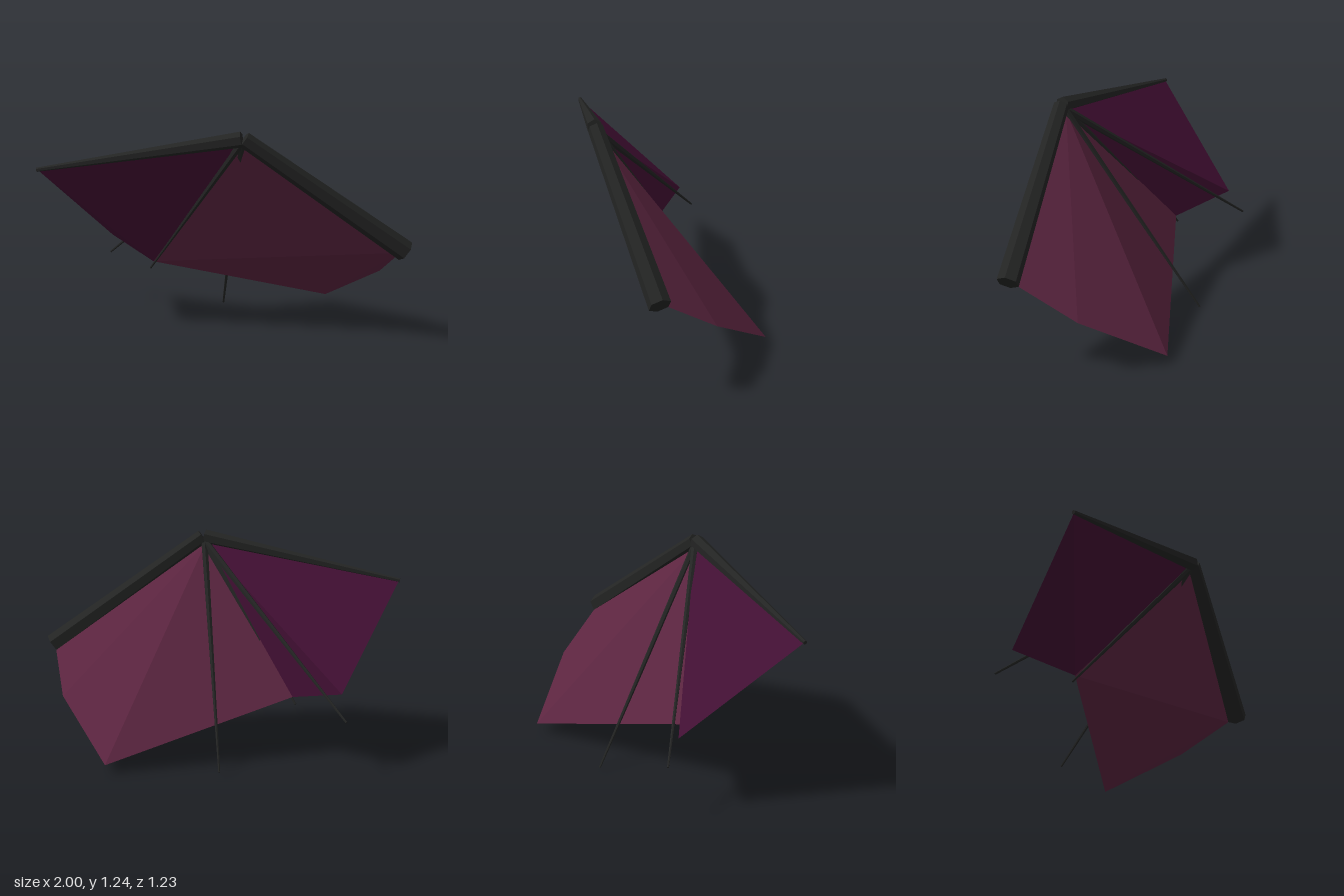
import * as THREE from 'three';
import { ConvexGeometry } from 'three/addons/geometries/ConvexGeometry.js';

const V = (x, y, z) => new THREE.Vector3(x, y, z);

function material(name, color) {
  const m = new THREE.MeshStandardMaterial({ color });
  m.name = name;
  return m;
}

// Six-sided tapered rod from a to b, one corner edge turned upwards
function rod(name, a, b, ra, rb, mat) {
  const len = a.distanceTo(b);
  const geo = new THREE.CylinderGeometry(rb, ra, len, 6).toNonIndexed();
  geo.computeVertexNormals();
  const axis = b.clone().sub(a).normalize();
  const up = V(0, 1, 0).addScaledVector(axis, -axis.y).normalize();
  const side = axis.clone().cross(up);
  geo.applyMatrix4(new THREE.Matrix4().makeBasis(side, axis, up));
  const mid = a.clone().add(b).multiplyScalar(0.5);
  geo.translate(mid.x, mid.y, mid.z);
  const mesh = new THREE.Mesh(geo, mat);
  mesh.name = name;
  return mesh;
}

// Thin faceted skin spanned between its corner points
function membrane(name, points, mat) {
  const mesh = new THREE.Mesh(new ConvexGeometry(points), mat);
  mesh.name = name;
  return mesh;
}

export function createModel() {
  const wing = new THREE.Group();
  wing.name = 'wing';

  const boneMat = material('charcoal bone', 0x232423);
  const innerMat = material('dusky rose skin', 0x5c2540);
  const outerMat = material('deep purple skin', 0x420f33);

  // Arm bones meeting at the wrist
  wing.add(rod('upperArmBone', V(0.965, 0.56, 0.565), V(0.072, 1.205, 0.413), 0.061, 0.044, boneMat));
  wing.add(rod('forearmBone', V(0.06, 1.205, 0.41), V(-0.997, 0.986, -0.08), 0.044, 0.012, boneMat));

  // Finger bones fanning out from the wrist
  const wrist = V(0.065, 1.185, 0.4);
  const tips = [V(0.16, 0.01, -0.39), V(-0.33, 0.32, -0.22), V(-0.507, 0.32, -0.61)];
  tips.forEach((tip, i) => wing.add(rod('fingerBone' + (i + 1), wrist, tip, 0.021, 0.006, boneMat)));

  // Skins share the wrist corner and the fold corner
  const apex = V(0.06, 1.17, 0.39);
  const fold = V(-0.315, 0.362, -0.21);
  wing.add(membrane('innerMembrane',
    [apex, fold, V(0.957, 0.535, 0.51), V(0.957, 0.337, 0.205), V(0.782, 0.056, -0.253)], innerMat));
  wing.add(membrane('outerMembrane',
    [apex, fold, V(-0.99, 0.983, -0.08), V(-0.508, 0.455, -0.52)], outerMat));

  return wing;
}
